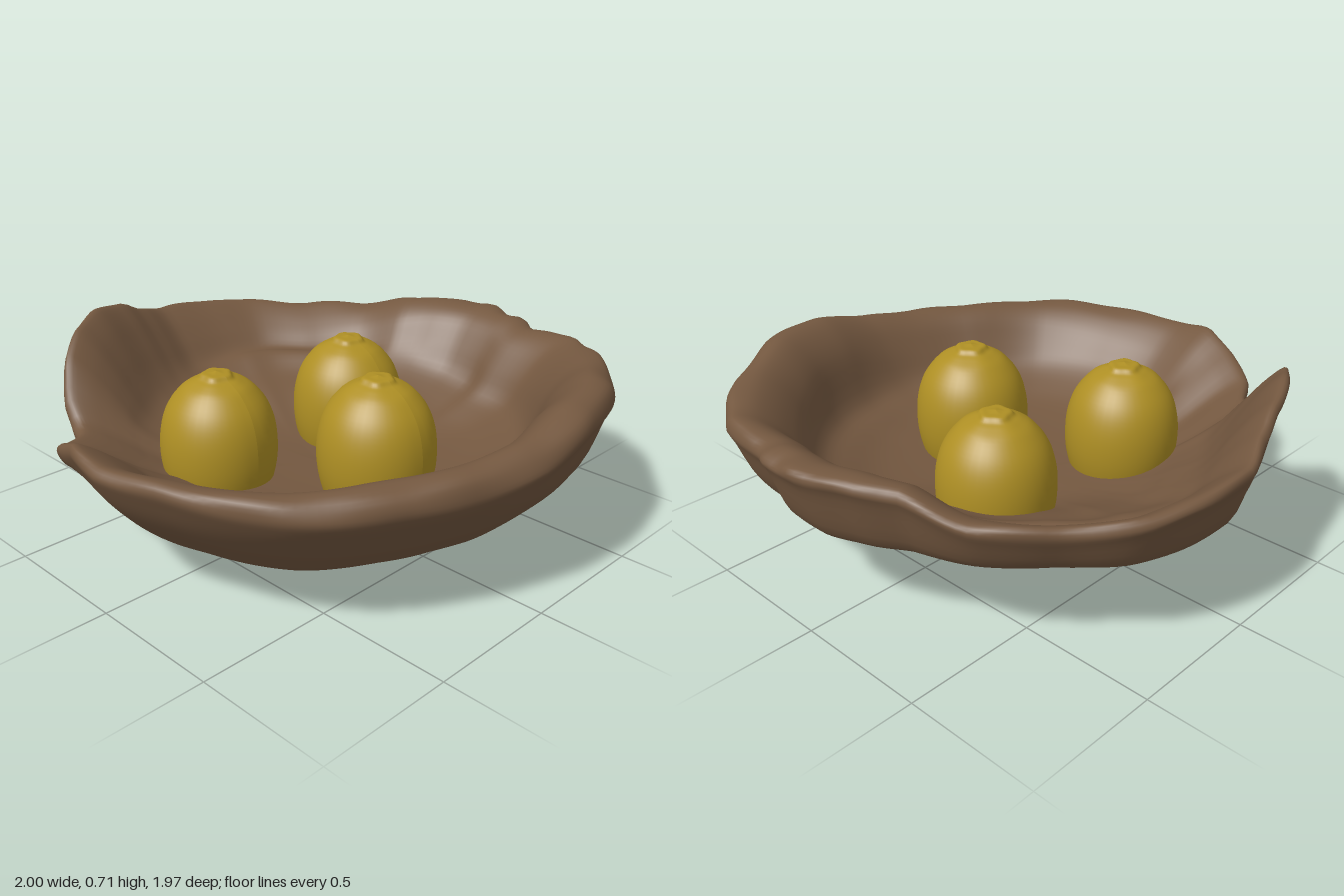
import * as THREE from 'three';

// Rim of the bowl: [angle in degrees from +x towards +z, radius, height]
const RIM = [
  [0, 1.0, 0.605], [10, 1.01, 0.605], [15, 0.99, 0.585], [28, 1.05, 0.6], [45, 1.04, 0.625], [60, 1.03, 0.65],
  [75, 1.0, 0.645], [90, 0.975, 0.59], [105, 0.94, 0.56], [120, 0.935, 0.555], [142, 0.975, 0.55],
  [165, 0.97, 0.545], [180, 1.0, 0.535], [190, 0.985, 0.54], [198, 0.98, 0.49], [206, 0.965, 0.43],
  [213, 0.89, 0.4], [219, 0.92, 0.42], [223, 0.95, 0.5], [227, 0.95, 0.61], [234, 0.94, 0.68],
  [243, 0.94, 0.72], [254, 0.94, 0.69], [261, 0.95, 0.64], [270, 0.985, 0.59], [285, 1.0, 0.58],
  [295, 1.0, 0.56], [310, 0.95, 0.535], [325, 0.95, 0.545], [340, 0.92, 0.6], [350, 0.96, 0.61],
  [360, 1.0, 0.605],
];

function rimAt(deg) {
  let k = 0;
  while (k < RIM.length - 2 && RIM[k + 1][0] <= deg) k++;
  const [a, b] = [RIM[k], RIM[k + 1]];
  const t = THREE.MathUtils.smoothstep(deg, a[0], b[0]) * 0.5 + 0.5 * (deg - a[0]) / (b[0] - a[0]);
  return [a[1] + (b[1] - a[1]) * t, a[2] + (b[2] - a[2]) * t];
}

// Bell-shaped weight around an angle
function bell(deg, centre, width) {
  const d = Math.abs(((deg - centre + 540) % 360) - 180);
  return d > width ? 0 : 0.5 + 0.5 * Math.cos(Math.PI * d / width);
}

// Cross-section from the underside centre, over the rim, to the inside centre
function section(deg) {
  const [r, top] = rimAt(deg);
  const dent = Math.min(1, 1.5 * bell(deg, 318, 75));   // hollow under one fruit
  const back = Math.min(1, 2 * bell(deg, 275, 58));     // shallow sloping back
  const round = Math.min(1, 1.3 * bell(deg, 90, 110));  // thick rounded lip in front, sharp behind
  const ledge = Math.max(round, bell(deg, 0, 60));      // flat band inside the rim
  const lift = (y, d, b) => y + Math.max(d * dent, b * back);
  const squat = Math.min(1, (top - 0.15) / 0.35);       // flattens the wall below the notch
  const wall = (y) => 0.125 + (y - 0.125) * squat;
  const slope = (t, flat) => {                          // inner wall, gentle or stepped
    const gentle = wall(0.34) + (top - wall(0.34)) * t;
    return gentle + (top - flat - gentle) * ledge;
  };
  return [
    [0, 0.125], [0.25, 0.125], [0.5, lift(0.125, 0.135, 0.045)],
    [0.62, lift(0.13, 0.15, 0.1)], [0.73, lift(wall(0.17), 0.13, 0.115)],
    [0.83, lift(wall(0.255), 0.065, 0.075)], [0.925, wall(0.365)],
    [0.98, top - 0.075 - 0.05 * round], [1, top - 0.025 - 0.05 * round], [0.975, top - 0.02 * round],
    [0.91, slope(0.83, 0)], [0.84, slope(0.56, 0.04)],
    [0.775, slope(0.28, 0.13)], [0.71, lift(wall(0.34), 0.06, 0.03)], [0.61, lift(wall(0.285), 0.06, 0.03)],
    [0.48, lift(0.24, 0.06, 0.01)], [0.25, 0.21], [0, 0.2],
  ].map(([f, y]) => new THREE.Vector2(f * r, y));
}

function bowlGeometry() {
  const SEG = 180, STEPS = 68, pos = [], idx = [];
  for (let j = 0; j < SEG; j++) {
    const deg = j * 360 / SEG, a = deg * Math.PI / 180;
    const pts = new THREE.SplineCurve(section(deg)).getPoints(STEPS);
    // slightly ragged edges on the two sides
    const torn = bell(deg, 205, 30) + bell(deg, 8, 40);
    pts.forEach((p, i) => {
      const edge = Math.exp(-Math.pow((i / STEPS - 0.52) / 0.06, 2));
      const lump = 0.004 * Math.sin(a * 9 + i * 0.25) + 0.003 * Math.sin(a * 17 - i * 0.3);
      const rag = torn * 0.005 * (Math.sin(a * 41) + Math.sin(a * 29 + 1));
      const r = Math.max(0, p.x + edge * (lump + rag));
      pos.push(r * Math.cos(a), p.y + edge * (lump + rag * 0.6), r * Math.sin(a));
      if (i < STEPS) {
        const A = j * (STEPS + 1) + i, B = ((j + 1) % SEG) * (STEPS + 1) + i;
        idx.push(A, A + 1, B, A + 1, B + 1, B);
      }
    });
  }
  const g = new THREE.BufferGeometry();
  g.setAttribute('position', new THREE.Float32BufferAttribute(pos, 3));
  g.setIndex(idx);
  g.computeVertexNormals();
  return g;
}

// Fruit: a rounded body with a leaning lower tip and a lumpy crown
function fruitGeometry() {
  const profile = [
    [0, -0.302], [0.025, -0.297], [0.045, -0.28], [0.065, -0.258], [0.11, -0.235], [0.155, -0.2],
    [0.188, -0.14], [0.21, -0.05], [0.214, 0.04], [0.202, 0.12], [0.175, 0.185], [0.13, 0.24],
    [0.09, 0.266], [0.065, 0.278], [0.05, 0.293], [0.025, 0.295], [0, 0.3],
  ].map(([x, y]) => new THREE.Vector2(x, y));
  const g = new THREE.LatheGeometry(new THREE.SplineCurve(profile).getPoints(60), 40);
  const p = g.attributes.position;
  for (let i = 0; i < p.count; i++) {
    const x = p.getX(i), y = p.getY(i), z = p.getZ(i);
    const low = Math.max(0, -y - 0.15) / 0.15;
    const crown = Math.max(0, y - 0.24) / 0.06;
    const lump = 1 + 0.08 * crown * Math.cos(5 * Math.atan2(z, x));
    p.setXYZ(i, x * lump + 0.055 * low, y, z * lump + 0.04 * low);
  }
  g.computeVertexNormals();
  return g;
}

export function createModel() {
  const group = new THREE.Group();
  const clay = new THREE.MeshStandardMaterial({ name: 'brown clay', color: 0x745840 });
  const peel = new THREE.MeshStandardMaterial({ name: 'yellow peel', color: 0xae8f24 });

  const bowl = new THREE.Mesh(bowlGeometry(), clay);
  bowl.name = 'bowl';
  group.add(bowl);

  const fruit = fruitGeometry();
  [[-0.33, 0.31, -0.21], [0.28, 0.31, -0.145], [-0.01, 0.34, 0.275]].forEach((at, i) => {
    const mesh = new THREE.Mesh(fruit, peel);
    mesh.name = 'fruit' + (i + 1);
    mesh.position.set(...at);
    group.add(mesh);
  });
  return group;
}
